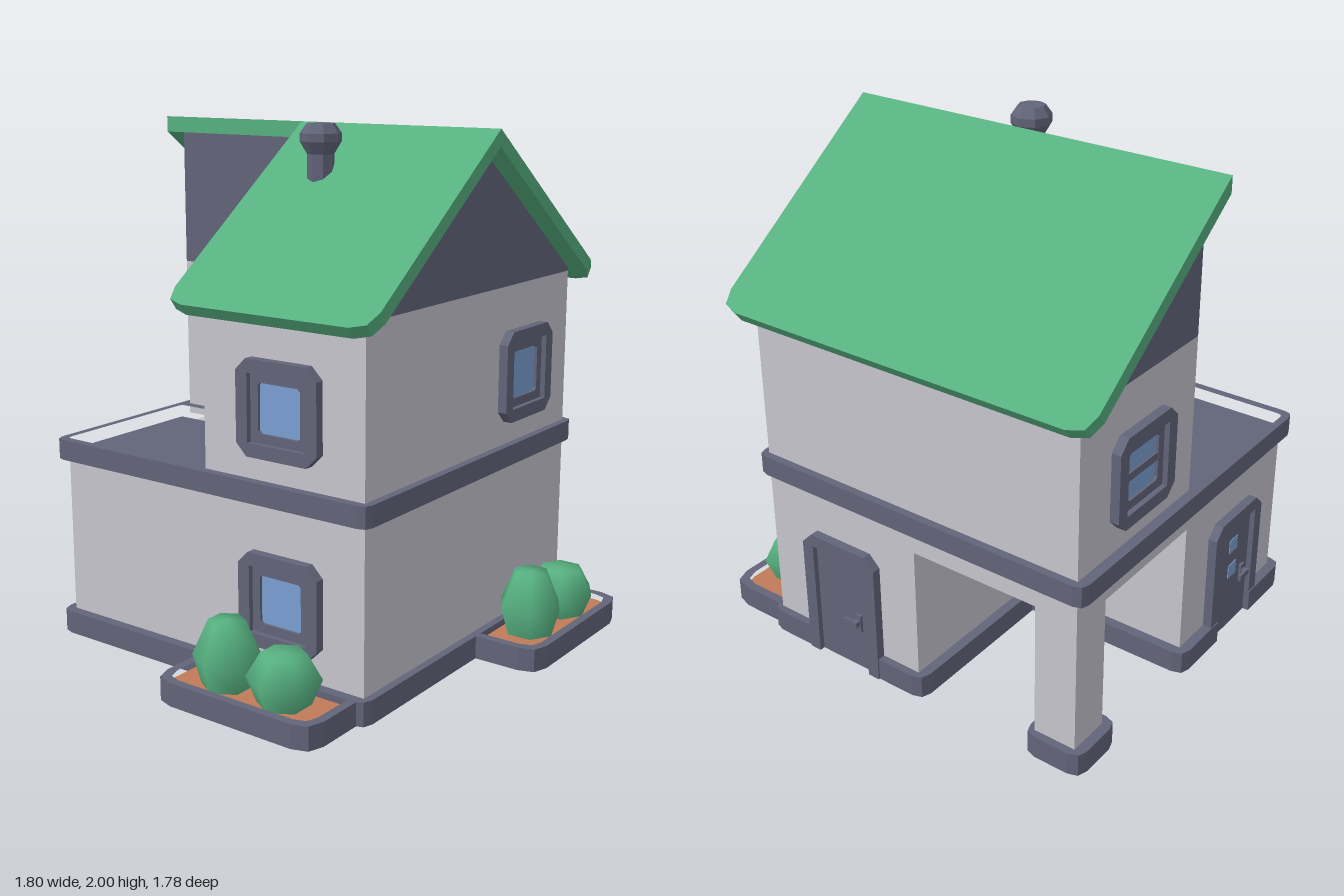
import * as THREE from 'three';

const mat = (name, color) => {
  const m = new THREE.MeshStandardMaterial({ color });
  m.name = name;
  return m;
};

// Polygon from [x, y, cornerCut] points
function cutShape(points, Type = THREE.Shape) {
  const s = new Type();
  const n = points.length;
  points.forEach(([x, y, r = 0], i) => {
    const p = new THREE.Vector2(x, y);
    const toward = (q) => new THREE.Vector2(q[0], q[1]).sub(p).normalize().multiplyScalar(r).add(p);
    const a = toward(points[(i + n - 1) % n]);
    const b = toward(points[(i + 1) % n]);
    if (i === 0) s.moveTo(a.x, a.y);
    else s.lineTo(a.x, a.y);
    if (r) s.quadraticCurveTo(x, y, b.x, b.y);
  });
  s.closePath();
  return s;
}

const rect = (x0, y0, x1, y1, r = 0) => [[x0, y0, r], [x1, y0, r], [x1, y1, r], [x0, y1, r]];

function extrude(points, depth, hole, curveSegments = 2) {
  const s = cutShape(points);
  if (hole) s.holes.push(cutShape(hole, THREE.Path));
  return new THREE.ExtrudeGeometry(s, { depth, bevelEnabled: false, curveSegments });
}

// Horizontal slab: points are [x, z, cornerCut]
function slab(points, y0, y1, hole) {
  const flip = (list) => list && list.map(([x, z, r]) => [x, -z, r]);
  return extrude(flip(points), y1 - y0, flip(hole)).rotateX(-Math.PI / 2).translate(0, y0, 0);
}

export function createModel() {
  const wall = mat('wall', 0xc6c5ce);
  const trim = mat('trim', 0x626479);
  const green = mat('green', 0x56b080);
  const soil = mat('soil', 0xc07a58);
  const glass = mat('glass', 0x7a9fd2);

  const house = new THREE.Group();
  house.name = 'house';
  const add = (parent, name, geometry, material, x = 0, y = 0, z = 0) => {
    const m = new THREE.Mesh(geometry, material);
    m.name = name;
    m.position.set(x, y, z);
    parent.add(m);
    return m;
  };
  const box = (w, h, d) => new THREE.BoxGeometry(w, h, d);
  const group = (name, x, y, z, turn) => {
    const g = new THREE.Group();
    g.name = name;
    g.position.set(x, y, z);
    g.rotation.y = turn;
    house.add(g);
    return g;
  };

  // Plinth, with notches at both doors, and pillar foot
  const c = 0.05;
  add(house, 'plinth', slab([
    [-0.64, 0.63, c], [0.83, 0.63, c], [0.83, 0.37], [0.8, 0.37], [0.8, 0.12], [0.83, 0.12],
    [0.83, -0.14, c], [0.14, -0.14], [0.14, -0.84, c], [-0.125, -0.84], [-0.125, -0.8],
    [-0.375, -0.8], [-0.375, -0.84], [-0.64, -0.84, c],
  ], 0, 0.09), trim);
  add(house, 'pillarFoot', slab(rect(0.59, -0.84, 0.83, -0.6, c), 0, 0.09), trim);

  // Ground floor with an open corner carried by a pillar
  add(house, 'groundFloor', slab([
    [-0.6, 0.6], [0.8, 0.6], [0.8, -0.1], [0.1, -0.1], [0.1, -0.8], [-0.6, -0.8],
  ], 0.02, 0.63), wall);
  add(house, 'carportCeiling', slab(rect(-0.6, -0.8, 0.8, 0.6), 0.62, 0.712), wall);
  add(house, 'pillar', slab(rect(0.63, -0.8, 0.8, -0.63), 0.08, 0.63), wall);

  // Floor band and sunken balcony
  add(house, 'floorBand', slab(rect(-0.635, -0.84, 0.83, 0.63, 0.04), 0.71, 0.79,
    rect(-0.6, -0.81, 0.06, -0.14, 0.02)), trim);
  add(house, 'balconyFloor', slab(rect(-0.61, -0.82, 0.07, -0.13), 0.711, 0.735), trim);

  // Upper floor and gables
  add(house, 'upperFloor', slab([
    [-0.6, 0.6], [0.8, 0.6], [0.8, -0.8], [0.1, -0.8], [0.1, -0.1], [-0.6, -0.1],
  ], 0.75, 1.4), wall);
  add(house, 'frontGable', extrude([[-0.6, 1.4], [0.8, 1.4], [0.8, 1.42], [0.1, 1.935], [-0.6, 1.42]], 0.7),
    trim, 0, 0, -0.1);
  add(house, 'backGable', extrude([[0.1, 1.4], [0.8, 1.4], [0.8, 1.42], [0.1, 1.935]], 0.7), trim, 0, 0, -0.8);

  // Roof slopes, mitred at the ridge
  const ridgeX = 0.1, ridgeY = 1.99, run = 0.8, drop = 0.59, thick = 0.05;
  const len = Math.hypot(run, drop), cos = run / len, sin = drop / len;
  function roofSlope(name, side, zBack, zFront) {
    const a = -side * zBack, b = -side * zFront;
    const geo = extrude([[0, a], [len, a, 0.08], [len, b, 0.08], [0, b]], thick);
    const normal = new THREE.Vector3(side * sin, cos, 0);
    const m = new THREE.Matrix4().makeBasis(
      new THREE.Vector3(side * cos, -sin, 0), new THREE.Vector3(0, 0, -side), normal);
    m.setPosition(ridgeX - normal.x * thick, ridgeY - normal.y * thick, 0);
    geo.applyMatrix4(m);
    const p = geo.attributes.position;
    for (let i = 0; i < p.count; i++) {
      if (side * (p.getX(i) - ridgeX) < -0.001) p.setXYZ(i, ridgeX, ridgeY - thick / cos, p.getZ(i));
    }
    geo.computeVertexNormals();
    add(house, name, geo, green);
  }
  roofSlope('leftRoof', 1, -0.89, 0.68);
  roofSlope('rightRoof', -1, -0.195, 0.68);

  // Lathe profile helper
  const lathe = (profile, sides) =>
    new THREE.LatheGeometry(profile.map(([r, y]) => new THREE.Vector2(r, y)), sides);

  // Chimney
  const chimney = lathe([[0.05, 1.7], [0.05, 1.89], [0.077, 1.935], [0.077, 1.965], [0.052, 2], [0, 2]], 8)
    .toNonIndexed();
  chimney.computeVertexNormals();
  add(house, 'chimney', chimney, trim, -0.12, 0, 0.06);

  // Windows, built facing +z
  function windowUnit(name, x, y, z, turn, bar) {
    const g = group(name, x, y, z, turn);
    const sq = (h, r) => rect(-h, -h, h, h, r);
    add(g, 'windowFrame', extrude(sq(0.175, 0.045), 0.036, sq(0.125), 1), trim);
    add(g, 'windowSash', extrude(sq(0.127), 0.016, sq(0.091, 0.01), 1), trim);
    add(g, 'pane', box(0.2, 0.2, 0.006), glass, 0, 0, 0.002);
    if (bar) add(g, 'windowBar', box(0.185, 0.03, 0.014), trim, 0, 0, 0.007);
  }
  windowUnit('frontWindow', 0.445, 1.055, 0.6, 0, false);
  windowUnit('backWindow', 0.445, 1.055, -0.8, Math.PI, true);
  windowUnit('upperSideWindow', -0.6, 1.055, 0.25, -Math.PI / 2, false);
  windowUnit('lowerSideWindow', -0.6, 0.355, 0.25, -Math.PI / 2, false);

  // Doors, built facing +z
  function door(name, x, z, turn, panes) {
    const g = group(name, x, 0, z, turn);
    add(g, 'doorFrame', extrude([
      [-0.175, 0], [-0.125, 0], [-0.125, 0.48], [0.125, 0.48], [0.125, 0],
      [0.175, 0], [0.175, 0.53, 0.045], [-0.175, 0.53, 0.045],
    ], 0.036, null, 1), trim);
    add(g, 'doorLeaf', box(0.25, 0.48, 0.03), trim, 0, 0.24, 0);
    add(g, 'handlePlate', box(0.028, 0.075, 0.012), trim, 0.075, 0.208, 0.02);
    add(g, 'handleStem', box(0.022, 0.022, 0.03), trim, 0.075, 0.215, 0.03);
    add(g, 'handleLever', box(0.065, 0.022, 0.012), trim, 0.054, 0.215, 0.042);
    for (const y of panes) add(g, 'doorPane', box(0.06, 0.06, 0.006), glass, 0, y, 0.015);
  }
  door('sideDoor', 0.8, 0.245, Math.PI / 2, []);
  door('backDoor', -0.25, -0.8, Math.PI, [0.375, 0.26]);

  // Planters with two bushes each, built against a wall facing +z
  function planter(name, x, z, turn) {
    const g = group(name, x, 0, z, turn);
    add(g, 'planterRim', slab([[-0.35, 0], [0.35, 0], [0.35, 0.29, 0.08], [-0.35, 0.29, 0.08]], 0, 0.09,
      [[-0.315, 0.03], [0.315, 0.03], [0.315, 0.257, 0.06], [-0.315, 0.257, 0.06]]), trim);
    add(g, 'planterBase', slab(rect(-0.32, 0.01, 0.32, 0.262, 0.06), 0, 0.04), trim);
    add(g, 'soilBed', slab(rect(-0.32, 0.02, 0.32, 0.262, 0.06), 0.04, 0.065), soil);
    add(g, 'tallBush', lathe([[0.09, 0.05], [0.127, 0.175], [0.068, 0.31], [0, 0.312]], 6),
      green, -0.128, 0, 0.137);
    add(g, 'wideBush', lathe([[0.09, 0.05], [0.135, 0.158], [0.082, 0.25], [0, 0.252]], 6),
      green, 0.125, 0, 0.137);
  }
  planter('frontPlanter', 0.447, 0.6, 0);
  planter('sidePlanter', -0.61, 0.243, -Math.PI / 2);

  return house;
}
